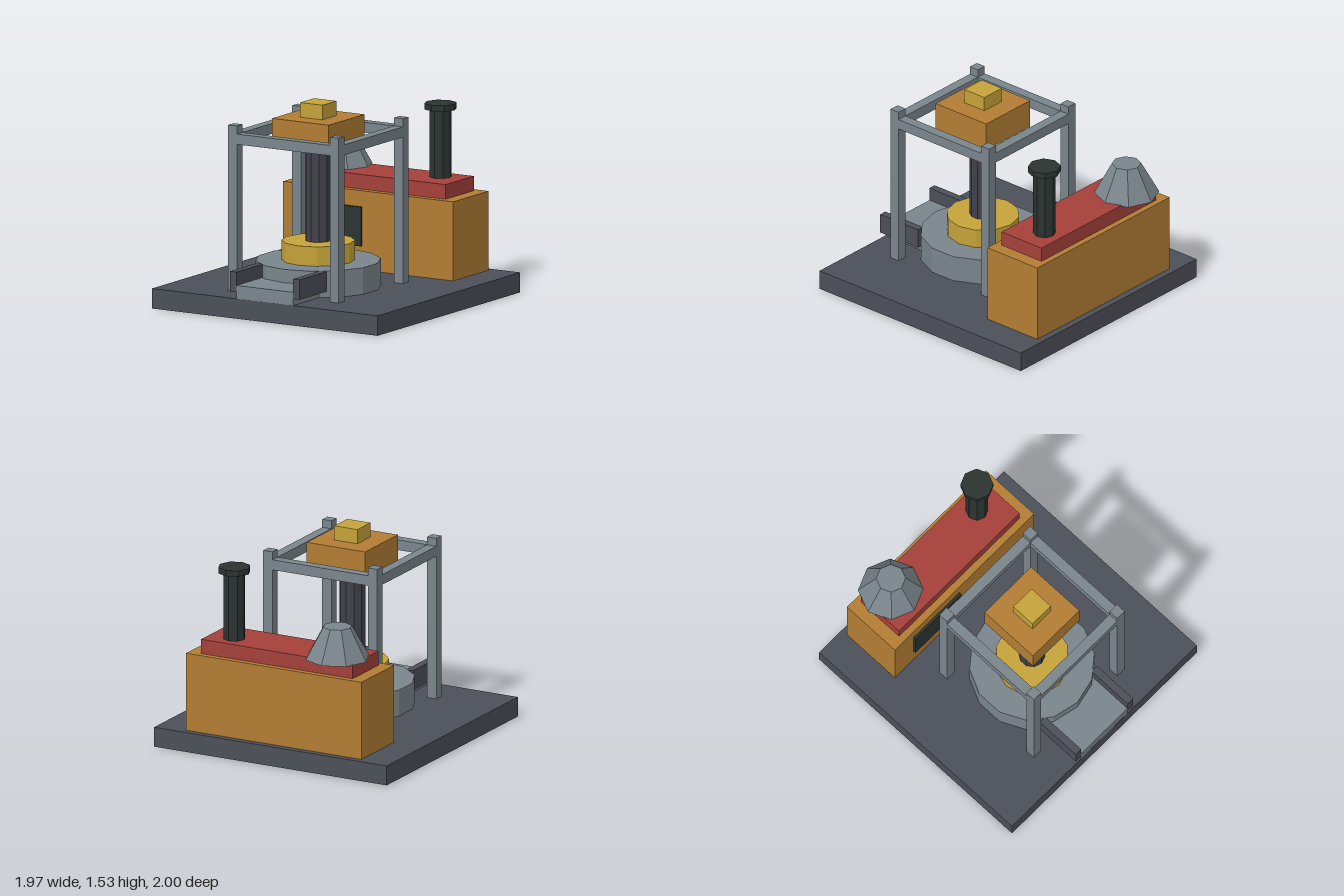
import * as THREE from 'three';

export function createModel() {
  const model = new THREE.Group();
  model.name = 'pressMachine';

  const paint = (name, color) => {
    const m = new THREE.MeshStandardMaterial({ color, flatShading: true });
    m.name = name;
    return m;
  };
  const slate = paint('slate', 0x4b4f58);
  const steel = paint('steel', 0x7a858c);
  const iron = paint('dark iron', 0x41424a);
  const orange = paint('orange', 0xb27d33);
  const gold = paint('gold', 0xc5a339);
  const red = paint('red', 0xa5403a);
  const soot = paint('soot', 0x2b3432);

  const add = (name, geometry, material, x, y, z) => {
    const mesh = new THREE.Mesh(geometry, material);
    mesh.name = name;
    mesh.position.set(x, y, z);
    model.add(mesh);
  };
  // Box given by its lower and upper limits on each axis
  const box = (name, material, [x0, x1], [y0, y1], [z0, z1]) =>
    add(name, new THREE.BoxGeometry(x1 - x0, y1 - y0, z1 - z0), material,
      (x0 + x1) / 2, (y0 + y1) / 2, (z0 + z1) / 2);
  // Upright prism or cone frustum between two heights
  const drum = (name, material, x, z, [y0, y1], bottom, top, sides) =>
    add(name, new THREE.CylinderGeometry(top, bottom, y1 - y0, sides), material,
      x, (y0 + y1) / 2, z);

  box('base', slate, [-0.985, 0.985], [0, 0.15], [-0.973, 1]);

  // Press: anvil, ram and hammer head
  const pz = 0.259;
  drum('anvilBase', steel, 0, pz, [0.15, 0.35], 0.465, 0.465, 14);
  drum('anvilRing', gold, 0, pz, [0.35, 0.495], 0.272, 0.272, 12);
  drum('ram', iron, 0, pz, [0.495, 1.205], 0.098, 0.098, 10);
  box('hammerHead', orange, [-0.247, 0.247], [1.205, 1.425], [pz - 0.247, pz + 0.247]);
  box('hammerCap', gold, [-0.098, 0.098], [1.425, 1.535], [pz - 0.098, pz + 0.098]);

  // Output chute with side walls
  box('chute', steel, [-0.247, 0.247], [0.15, 0.25], [0.5, 0.999]);
  for (const s of [-1, 1]) {
    add('chuteWall', new THREE.BoxGeometry(0.058, 0.15, 0.37), slate, s * 0.276, 0.275, 0.815);
  }

  // Frame: four posts and four beams
  const h = 0.444, t = 0.078;
  for (const s of [-1, 1]) {
    for (const f of [-1, 1]) {
      add('framePost', new THREE.BoxGeometry(t, 1.24, t), steel, s * h, 0.77, pz + f * h);
    }
    add('crossBeam', new THREE.BoxGeometry(2 * h - t, t, t), steel, 0, 1.29, pz + s * h);
    add('sideBeam', new THREE.BoxGeometry(t, t, 2 * h - t), steel, s * h, 1.29, pz);
  }

  // Furnace house behind the press
  box('furnaceBody', orange, [-0.742, 0.742], [0.15, 0.745], [-0.922, -0.432]);
  box('furnaceRoof', red, [-0.642, 0.642], [0.745, 0.855], [-0.876, -0.485]);
  box('furnaceDoor', soot, [-0.545, -0.052], [0.33, 0.625], [-0.432, -0.412]);

  // Hopper and chimney on the roof
  drum('hopper', steel, -0.446, -0.757, [0.848, 1.09], 0.243, 0.109, 8);
  drum('chimney', soot, 0.443, -0.73, [0.855, 1.365], 0.083, 0.083, 8);
  drum('chimneyCap', soot, 0.443, -0.73, [1.365, 1.41], 0.122, 0.122, 8);

  return model;
}
